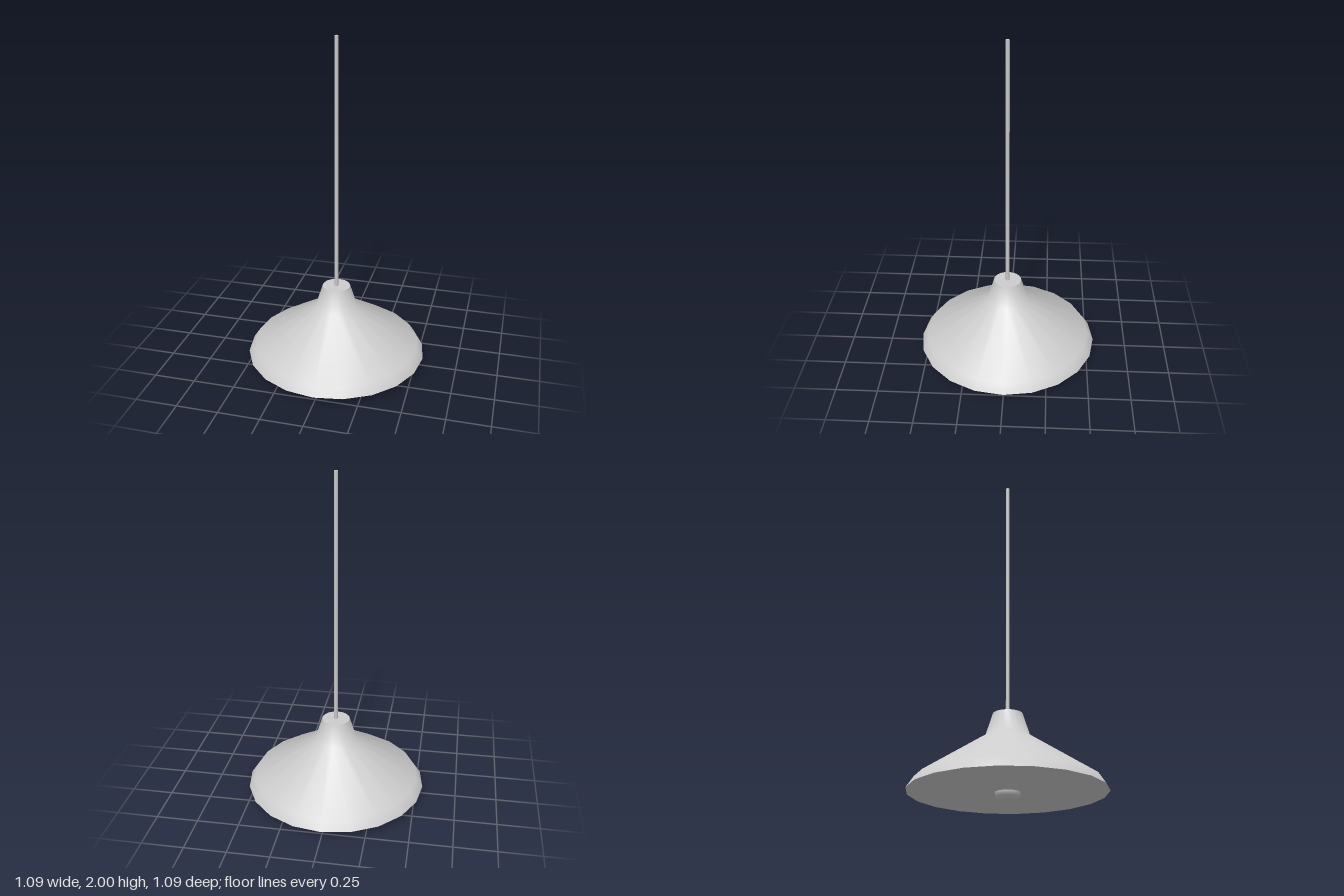
import * as THREE from 'three';

const SIDES = 20;

export function createModel() {
  const lamp = new THREE.Group();
  lamp.name = 'pendantLamp';
  const grey = new THREE.MeshStandardMaterial({ color: 0xcccccc });
  grey.name = 'lightGrey';

  const add = (name, geometry, y = 0) => {
    const mesh = new THREE.Mesh(geometry, grey);
    mesh.name = name;
    mesh.position.y = y;
    lamp.add(mesh);
    return mesh;
  };
  // Profiles run from bottom to top so faces point outward
  const lathe = (profile) =>
    new THREE.LatheGeometry(profile.map(([r, y]) => new THREE.Vector2(r, y)), SIDES);
  // Flat round cap with its rim on the same corners as the lathes
  const cap = (radius, up) =>
    new THREE.CircleGeometry(radius, SIDES).rotateX(up ? -Math.PI / 2 : Math.PI / 2);

  // Conical shade with a turned-in rim and a narrow collar
  add('shade', lathe([[0.545, 0.05], [0.505, 0.11], [0.125, 0.36], [0.084, 0.49]]));
  add('shadeTop', cap(0.084, true), 0.49);
  add('shadeBottom', cap(0.545, false), 0.05);

  // Bulb tip showing below the shade
  add('bulb', lathe([[0, 0.005], [0.035, 0.012], [0.067, 0.027], [0.07, 0.05]]));

  // Hanging rod
  add('rod', new THREE.CylinderGeometry(0.012, 0.012, 1.52, 6), 1.24);

  return lamp;
}
